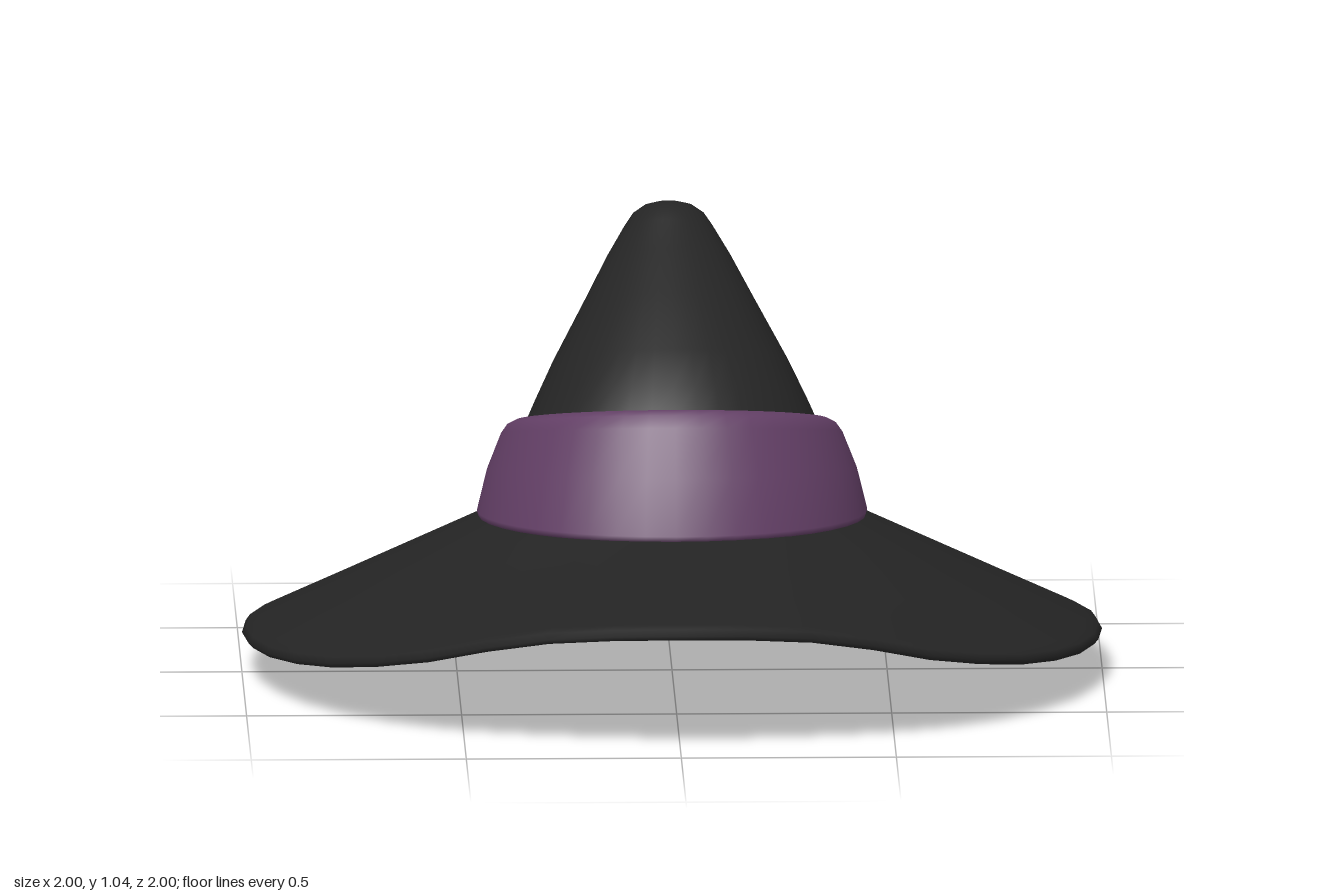
import * as THREE from 'three';

const SEGMENTS = 40;

// Skins a stack of closed rings; each ring maps an angle (0 = front) to [x, y, z].
// Rings run from the bottom up, or inward over the top, so faces point outward.
function loft(rings) {
  const positions = [], index = [];
  for (const ring of rings) {
    for (let i = 0; i < SEGMENTS; i++) positions.push(...ring(i / SEGMENTS * Math.PI * 2));
  }
  for (let r = 0; r < rings.length - 1; r++) {
    for (let i = 0; i < SEGMENTS; i++) {
      const j = (i + 1) % SEGMENTS;
      const a = r * SEGMENTS + i, b = r * SEGMENTS + j;
      index.push(a, b, b + SEGMENTS, a, b + SEGMENTS, a + SEGMENTS);
    }
  }
  const geometry = new THREE.BufferGeometry();
  geometry.setAttribute('position', new THREE.Float32BufferAttribute(positions, 3));
  geometry.setIndex(index);
  geometry.computeVertexNormals();
  return geometry;
}

// Tilted oval through a front point, a back point and a half width
const oval = ([zf, yf, zb, yb, rx]) => (a) => {
  const t = (1 + Math.cos(a)) / 2;
  return [rx * Math.sin(a), yb + (yf - yb) * t, zb + (zf - zb) * t];
};

// Height of the wavy lower rim from back (z = -1) to front (z = 1)
const rimWave = new THREE.SplineCurve(
  [0.016, 0.003, 0.035, 0.064, 0.08, 0.086, 0.094, 0.109, 0.136, 0.188, 0.28]
    .map((y, i) => new THREE.Vector2(-1 + i * 0.2, y)));
const rimHeight = (a) => rimWave.getPoint((1 + Math.cos(a)) / 2).y;

// Brim ring: radius r, k = 0 at the crown and 1 at the rim
const brimRing = (r, k, crownY, lift) => (a) => {
  const z = r * Math.cos(a);
  const inner = crownY + 0.065 * Math.cos(a) * 0.45;
  return [r * Math.sin(a), inner + (rimHeight(a) + lift - inner) * k, z];
};

export function createModel() {
  const black = new THREE.MeshStandardMaterial({ color: 0x242424 });
  black.name = 'black felt';
  const purple = new THREE.MeshStandardMaterial({ color: 0x633f66 });
  purple.name = 'purple band';

  const hat = new THREE.Group();
  hat.name = 'pointedHat';
  const add = (name, geometry, material) => {
    const mesh = new THREE.Mesh(geometry, material);
    mesh.name = name;
    hat.add(mesh);
  };

  // Brim: underside outward, around the thin rim, then back up the top
  add('brim', loft([
    brimRing(0.39, 0, 0.33, 0),
    brimRing(0.58, 0.33, 0.33, 0),
    brimRing(0.78, 0.66, 0.33, 0),
    brimRing(0.965, 0.98, 0.33, 0),
    brimRing(0.99, 1, 0.33, 0.003),
    brimRing(1, 1, 0.33, 0.014),
    brimRing(0.99, 1, 0.38, 0.028),
    brimRing(0.965, 0.96, 0.38, 0.03),
    brimRing(0.8, 0.66, 0.38, 0.03),
    brimRing(0.62, 0.33, 0.38, 0.03),
    brimRing(0.44, 0, 0.38, 0),
  ]), black);

  // Band with a rounded upper lip
  add('band', loft([
    [0.43, 0.395, -0.43, 0.335, 0.43],
    [0.458, 0.404, -0.455, 0.342, 0.45],
    [0.462, 0.418, -0.458, 0.356, 0.454],
    [0.41, 0.545, -0.44, 0.42, 0.43],
    [0.36, 0.655, -0.42, 0.473, 0.397],
    [0.345, 0.682, -0.41, 0.488, 0.382],
    [0.32, 0.69, -0.4, 0.495, 0.363],
    [0.29, 0.682, -0.392, 0.493, 0.35],
    [0.27, 0.65, -0.38, 0.47, 0.335],
  ].map(oval)), purple);

  // Crown leaning back to a blunt tip
  add('crown', loft([
    [0.285, 0.66, -0.393, 0.47, 0.348],
    [0.22, 0.725, -0.4, 0.54, 0.315],
    [0.12, 0.793, -0.41, 0.63, 0.273],
    [-0.05, 0.89, -0.435, 0.77, 0.2],
    [-0.2, 0.965, -0.455, 0.88, 0.143],
    [-0.29, 1.014, -0.468, 0.95, 0.102],
    [-0.325, 1.033, -0.47, 0.98, 0.083],
    [-0.358, 1.042, -0.455, 1.007, 0.055],
    [-0.385, 1.04, -0.43, 1.024, 0.025],
    [-0.408, 1.035, -0.408, 1.035, 0],
  ].map(oval)), black);

  // Flat lining closing the opening underneath
  add('lining', loft([
    [0, 0.332, 0, 0.332, 0],
    [0.395, 0.361, -0.395, 0.303, 0.395],
  ].map(oval)), purple);

  return hat;
}
